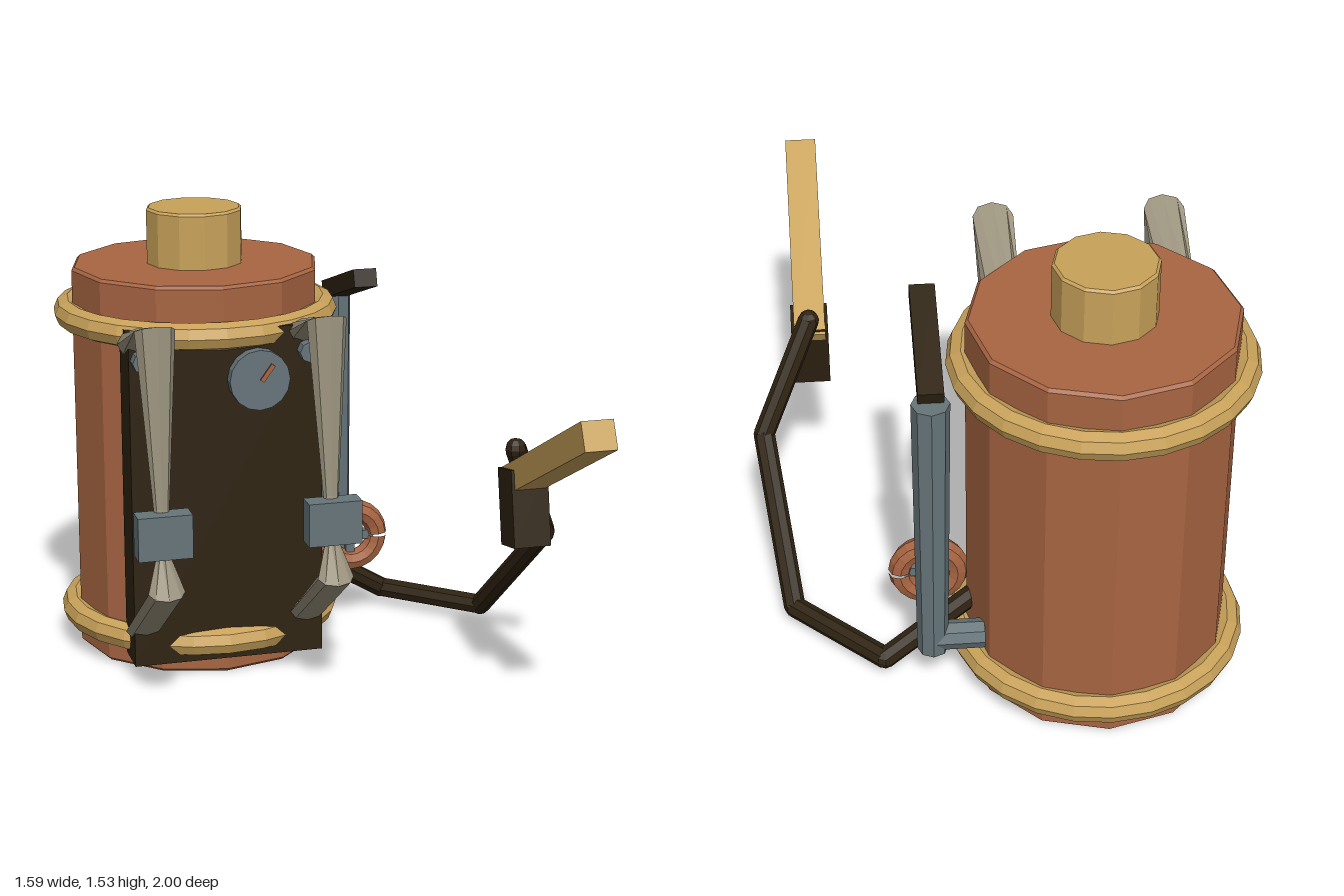
import * as THREE from 'three';

const mat = (name, color, flat = true) => {
  const m = new THREE.MeshStandardMaterial({ color, flatShading: flat });
  m.name = name;
  return m;
};

export function createModel() {
  const copper = mat('copper', 0xa86542);
  const brass = mat('brass', 0xc9a25a);
  const leather = mat('dark leather', 0x2f2312);
  const canvas = mat('canvas', 0x9c947f);
  const steel = mat('steel', 0x66757a);

  const root = new THREE.Group();
  root.name = 'backpackSprayer';
  const add = (name, geo, material, x = 0, y = 0, z = 0, rx = 0, ry = 0, rz = 0) => {
    const m = new THREE.Mesh(geo, material);
    m.name = name;
    m.position.set(x, y, z);
    m.rotation.set(rx, ry, rz);
    root.add(m);
    return m;
  };
  const box = (w, h, d) => new THREE.BoxGeometry(w, h, d);

  // Rod from a to b with radii at each end
  const rod = (name, a, b, ra, rb, material, sides = 8) => {
    const p = new THREE.Vector3(...a), q = new THREE.Vector3(...b);
    const m = add(name, new THREE.CylinderGeometry(rb, ra, p.distanceTo(q), sides), material);
    m.position.copy(p).lerp(q, 0.5);
    m.quaternion.setFromUnitVectors(new THREE.Vector3(0, 1, 0), q.sub(p).normalize());
  };

  // Twelve-sided drum with small bevels
  const drum = (r, y0, y1, b) => new THREE.LatheGeometry(
    [[0, y0], [r - b, y0], [r, y0 + b], [r, y1 - b], [r - b, y1], [0, y1]].map(p => new THREE.Vector2(...p)), 12);

  // Loft of elliptical sections: [y, z, half width, vy, vz]
  const loft = (stations, sides = 8) => {
    const pos = [], idx = [];
    for (const [y, z, a, vy, vz] of stations) {
      for (let j = 0; j < sides; j++) {
        const t = (j / sides) * Math.PI * 2, s = Math.sin(t);
        pos.push(a * Math.cos(t), y + vy * s, z + vz * s);
      }
    }
    for (let i = 0; i < stations.length - 1; i++) {
      for (let j = 0; j < sides; j++) {
        const k = (j + 1) % sides, a = i * sides, b = a + sides;
        idx.push(a + j, a + k, b + j, a + k, b + k, b + j);
      }
    }
    const e = (stations.length - 1) * sides;
    for (let j = 1; j < sides - 1; j++) idx.push(0, j + 1, j, e, e + j, e + j + 1);
    const g = new THREE.BufferGeometry();
    g.setAttribute('position', new THREE.Float32BufferAttribute(pos, 3));
    g.setIndex(idx);
    g.computeVertexNormals();
    return g;
  };

  // Tank, cap and bands
  const tx = -0.31, tz = -0.515;
  add('tank', drum(0.425, 0, 1.34, 0.01), copper, tx, 0, tz);
  add('cap', drum(0.165, 1.33, 1.53, 0.008), brass, tx, 0, tz);
  for (const y of [0.117, 1.178]) {
    add('band', new THREE.TorusGeometry(0.438, 0.047, 8, 24), brass, tx, y, tz, Math.PI / 2);
  }

  // Back pad
  add('backPad', box(0.65, 1.145, 0.15), leather, -0.305, 0.6275, -0.153);

  // Pressure gauge
  add('gauge', new THREE.CylinderGeometry(0.102, 0.102, 0.04, 16), steel, -0.2, 1.03, -0.06, Math.PI / 2);
  add('gaugeNeedle', box(0.015, 0.065, 0.008), copper, -0.178, 1.057, -0.026, 0, 0, -0.63);

  // Shoulder straps with buckles and studs
  const strapGeo = loft([
    [1.15, -0.17, 0.06, 0.045, -0.015],
    [1.27, 0.16, 0.066, 0.022, 0.045],
    [0.7, 0.212, 0.026, 0, 0.016],
    [0.57, 0.22, 0.015, 0, 0.025],
    [0.435, 0.272, 0.06, -0.017, 0.038],
    [0.165, -0.13, 0.06, -0.025, 0.015],
  ]);
  for (const x of [-0.59, -0.03]) {
    add('shoulderStrap', strapGeo, canvas, x);
    add('buckle', box(0.178, 0.145, 0.075), steel, x, 0.618, 0.235);
    add('strapStud', new THREE.CylinderGeometry(0.035, 0.035, 0.05, 8), steel, x, 1.115, -0.06, Math.PI / 2);
  }

  // Pump rod, elbow into the tank, and lever
  rod('pumpRod', [0.237, 0.165, -0.675], [0.232, 1.16, -0.685], 0.05, 0.06, steel);
  rod('pumpElbow', [0.07, 0.215, -0.675], [0.24, 0.215, -0.675], 0.048, 0.048, steel);
  add('pumpLever', box(0.08, 0.062, 0.42), leather, 0.23, 1.235, -0.485, -0.3);

  // Valve wheel with cross spokes
  add('valveWheel', new THREE.TorusGeometry(0.094, 0.038, 8, 20, Math.PI * 1.97), copper, 0.235, 0.322, -0.47, 0, 0, 0.04);
  add('valveSpoke', box(0.17, 0.032, 0.03), steel, 0.23, 0.322, -0.47);
  add('valveSpoke', box(0.032, 0.17, 0.03), steel, 0.23, 0.322, -0.47);

  // Hose
  const hose = [
    [0.1, 0.25, -0.53], [0.39, 0.063, -0.605], [0.68, 0.063, -0.33], [0.755, 0.47, 0.1], [0.585, 0.82, 0.26],
  ];
  hose.forEach((p, i) => {
    add('hoseJoint', new THREE.SphereGeometry(0.036, 8, 6), leather, ...p);
    if (i) rod('hose', hose[i - 1], p, 0.036, 0.036, leather);
  });

  // Spray handle and wand
  add('sprayHandle', box(0.125, 0.255, 0.13), leather, 0.583, 0.653, 0.358, -0.2);
  add('sprayWand', box(0.105, 0.095, 0.78), brass, 0.583, 0.89, 0.63, -0.464);

  return root;
}
